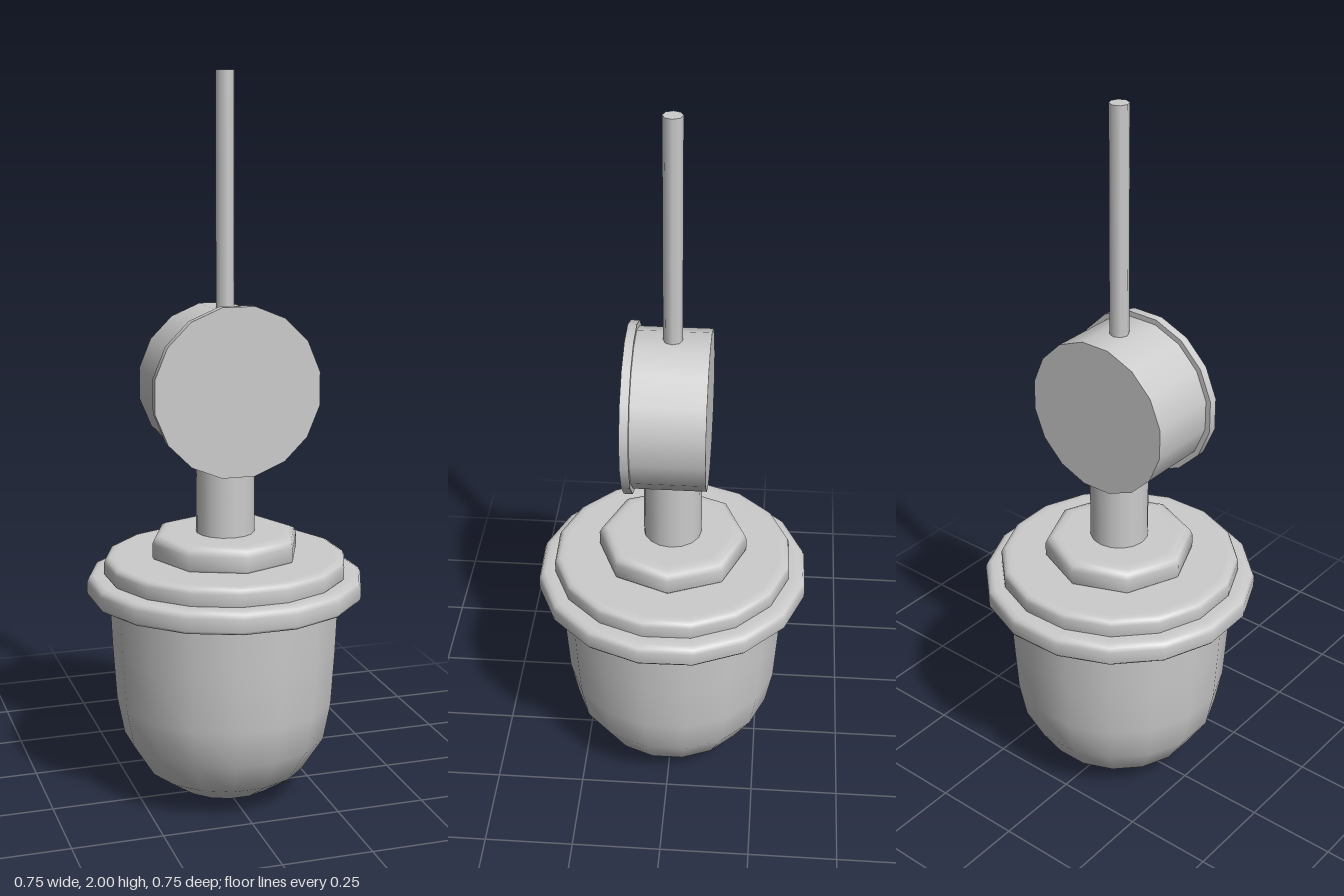
import * as THREE from 'three';

export function createModel() {
  const model = new THREE.Group();
  const grey = new THREE.MeshStandardMaterial({ color: 0xcccccc });
  grey.name = 'light grey';

  const add = (name, geometry) => {
    const mesh = new THREE.Mesh(geometry, grey);
    mesh.name = name;
    model.add(mesh);
    return mesh;
  };

  // Turned part from [radius, height] points, listed bottom to top
  const turned = (name, points, sides, turn = 0) =>
    add(name, new THREE.LatheGeometry(points.map(([r, y]) => new THREE.Vector2(r, y)), sides, turn));

  // Round plate with softened rims
  const plate = (name, r, y0, y1, bevel, sides, turn) =>
    turned(name, [
      [0, y0], [r - bevel * 0.4, y0], [r, y0 + bevel * 0.5], [r, y1 - bevel],
      [r - bevel * 0.3, y1 - bevel * 0.3], [r - bevel, y1], [r - bevel * 2, y1], [0, y1],
    ], sides, turn);

  // Rounded glass bowl
  turned('bowl', [
    [0, 0], [0.07, 0.008], [0.14, 0.027], [0.225, 0.085], [0.285, 0.18],
    [0.305, 0.285], [0.315, 0.44], [0.322, 0.6],
  ], 16, Math.PI / 16);

  // Stepped cap above the bowl
  const turn = THREE.MathUtils.degToRad(12.5);
  plate('wideCollar', 0.383, 0.585, 0.645, 0.018, 16, turn);
  plate('middleCollar', 0.336, 0.64, 0.695, 0.016, 16, turn);
  plate('topCollar', 0.208, 0.69, 0.76, 0.022, 8, 0);

  // Neck and hanging rod
  const post = (name, r, y0, y1, sides) => {
    add(name, new THREE.CylinderGeometry(r, r, y1 - y0, sides)).position.y = (y0 + y1) / 2;
  };
  post('neck', 0.081, 0.75, 0.97, 16);
  post('hangingRod', 0.026, 1.36, 2, 8);

  // Junction drum with its front cover, both facing +z
  const disc = (name, r, z0, z1) => {
    const geometry = new THREE.CylinderGeometry(r, r, z1 - z0, 16, 1, false, Math.PI / 16);
    geometry.rotateX(Math.PI / 2);
    add(name, geometry).position.set(0, 1.167, (z0 + z1) / 2);
  };
  disc('junctionDrum', 0.218, -0.1, 0.1);
  disc('drumCover', 0.233, 0.098, 0.122);

  return model;
}
